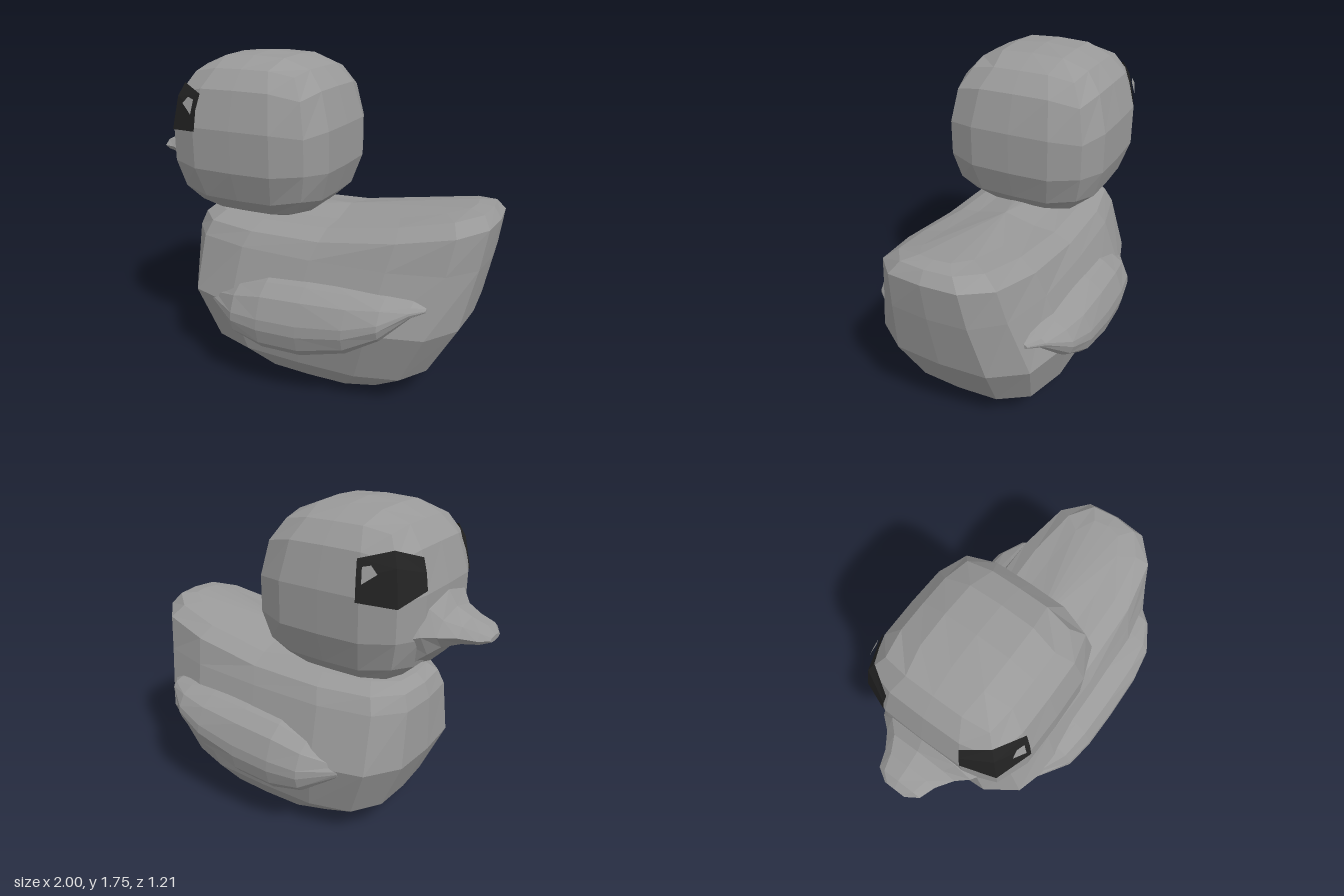
import * as THREE from 'three';

const V = (x, y, z) => new THREE.Vector3(x, y, z);

function geometryFrom(points) {
  const g = new THREE.BufferGeometry().setFromPoints(points);
  g.computeVertexNormals();
  return g;
}

// Skin closed rings into a faceted solid with fan caps at both ends
function loft(rings, flip = false) {
  const out = [];
  const tri = (a, b, c) => (flip ? out.push(a, c, b) : out.push(a, b, c));
  const n = rings[0].length;
  const middle = (ring) => ring.reduce((s, p) => s.add(p), V(0, 0, 0)).divideScalar(n);
  const first = rings[0], last = rings[rings.length - 1];
  const start = middle(first), end = middle(last);
  for (let j = 0; j < n; j++) {
    const k = (j + 1) % n;
    tri(start, first[j], first[k]);
    tri(end, last[k], last[j]);
    for (let i = 0; i < rings.length - 1; i++) {
      const a = rings[i][j], b = rings[i][k], c = rings[i + 1][j], d = rings[i + 1][k];
      tri(a, c, b);
      tri(b, c, d);
    }
  }
  return geometryFrom(out);
}

// Head is a tall box inflated into a boxy ellipsoid
const HEAD = { x: -0.295, y: 1.27, rx: 0.46, rz: 0.45, up: 0.485, down: 0.4, flat: 4.2, tall: 2.7 };

function headGeometry() {
  const g = new THREE.BoxGeometry(2, 2.5, 2, 4, 5, 4);
  const p = g.attributes.position;
  for (let i = 0; i < p.count; i++) {
    const x = p.getX(i), y = p.getY(i), z = p.getZ(i);
    const side = Math.abs(x) ** HEAD.flat + Math.abs(z) ** HEAD.flat;
    const f = (side ** (HEAD.tall / HEAD.flat) + Math.abs(y) ** HEAD.tall) ** (1 / HEAD.tall);
    p.setXYZ(i, HEAD.x + HEAD.rx * x / f, HEAD.y + (y > 0 ? HEAD.up : HEAD.down) * y / f, HEAD.rz * z / f);
  }
  g.computeVertexNormals();
  return g;
}

// Point just above the head surface at a height, in a horizontal direction
function onHead(dx, dz, y) {
  const s = (1 - ((y - HEAD.y) / HEAD.up) ** HEAD.tall) ** (1 / HEAD.tall);
  const k = 1.012 * s / (Math.abs(dx) ** HEAD.flat + Math.abs(dz) ** HEAD.flat) ** (1 / HEAD.flat);
  return V(HEAD.x + HEAD.rx * dx * k, y, HEAD.rz * dz * k);
}

function bodyGeometry() {
  // height, front x, back x, half width, tail lift
  const levels = [
    [0.005, -0.1, 0.36, 0.16, 0],
    [0.025, -0.24, 0.48, 0.26, 0],
    [0.06, -0.33, 0.55, 0.37, 0],
    [0.17, -0.57, 0.74, 0.445, 0],
    [0.46, -0.7, 0.9, 0.515, 0],
    [0.76, -0.69, 0.97, 0.415, 0.02],
    [0.84, -0.66, 1.0, 0.37, 0.13],
    [0.885, -0.61, 0.96, 0.28, 0.15],
    [0.9, -0.5, 0.88, 0.17, 0.16],
  ];
  const e = 3.7;
  return loft(levels.map(([y, x0, x1, hz, lift]) => {
    const ring = [];
    for (let s = 0; s < 4; s++) {
      for (let i = 0; i < 4; i++) {
        // walk round a square, then round its corners
        const t = -1 + i / 2;
        const [u, w] = [[1, t], [-t, 1], [-1, -t], [t, -1]][s];
        const k = 1 / (Math.abs(u) ** e + Math.abs(w) ** e) ** (1 / e);
        const x = (x0 + x1) / 2 + u * k * (x1 - x0) / 2;
        const rise = Math.max(0, (x - 0.05) / 0.85) ** 1.3;
        ring.push(V(x, y + lift * rise, w * k * hz));
      }
    }
    return ring;
  }));
}

function beakGeometry() {
  // x, middle height, half height, half width, flaring into the cheeks
  const sections = [
    [-1.0, 1.17, 0.015, 0.06],
    [-0.96, 1.182, 0.04, 0.125],
    [-0.88, 1.188, 0.06, 0.155],
    [-0.8, 1.19, 0.095, 0.21],
    [-0.75, 1.2, 0.16, 0.27],
    [-0.68, 1.18, 0.21, 0.31],
  ];
  return loft(sections.map(([x, y, hy, hz]) => Array.from({ length: 8 }, (_, i) => {
    const a = i * Math.PI / 4;
    return V(x, y + hy * Math.sin(a), hz * Math.cos(a));
  })), true);
}

function wingGeometry(side) {
  // x, outer z, bottom, top
  const sections = [
    [-0.43, 0.465, 0.41, 0.5],
    [-0.25, 0.575, 0.29, 0.61],
    [-0.08, 0.6, 0.25, 0.67],
    [0.15, 0.605, 0.26, 0.69],
    [0.4, 0.6, 0.34, 0.69],
    [0.57, 0.57, 0.45, 0.68],
    [0.7, 0.48, 0.58, 0.66],
    [0.76, 0.41, 0.6, 0.63],
  ];
  // outward and upward fractions, from the belly up to the back
  const profile = [[0.15, 0], [0.75, 0.06], [0.92, 0.17], [1, 0.36], [0.98, 0.5], [0.8, 0.76], [0.5, 0.89], [0.1, 1]];
  const inner = 0.36;
  return loft(sections.map(([x, out, low, high]) => profile.map(([w, v]) =>
    V(x, low + (high - low) * v, side * (inner + (out - inner) * w)))), side > 0);
}

// Eye patch folded round the front corner of the head
function eyeGrid(side) {
  const columns = [[-1, 0.5, [1.41, 1.49, 1.555]], [-1, 1, [1.355, 1.53, 1.6]], [-0.46, 1, [1.37, 1.48, 1.56]]];
  return columns.map(([dx, dz, ys]) => ys.map((y) => onHead(dx, dz * side, y)));
}

function eyeGeometry(grid) {
  const out = [];
  for (let c = 0; c < 2; c++) {
    for (let r = 0; r < 2; r++) {
      const a = grid[c][r], b = grid[c + 1][r], d = grid[c][r + 1], e = grid[c + 1][r + 1];
      out.push(a, b, e, a, e, d);
    }
  }
  return geometryFrom(out);
}

// Small glint on the rear half of the eye, lifted just clear of it
function glintGeometry(side) {
  const spots = [[-0.595, 1.505], [-0.53, 1.455], [-0.52, 1.53], [-0.56, 1.54]];
  const p = spots.map(([x, y]) => {
    const s = (1 - ((y - HEAD.y) / HEAD.up) ** HEAD.tall) ** (1 / HEAD.tall);
    const u = Math.abs(x - HEAD.x) / (HEAD.rx * s);
    const z = HEAD.rz * s * (1 - u ** HEAD.flat) ** (1 / HEAD.flat);
    return V(x, y, side * (z + 0.008));
  });
  return geometryFrom([p[0], p[1], p[2], p[0], p[2], p[3]]);
}

export function createModel() {
  const model = new THREE.Group();
  const material = (name, color) => {
    const m = new THREE.MeshStandardMaterial({ color, flatShading: true, side: THREE.DoubleSide });
    m.name = name;
    return m;
  };
  const grey = material('grey', 0x999999);
  const black = material('black', 0x222222);
  const add = (name, geometry, mat) => {
    const mesh = new THREE.Mesh(geometry, mat);
    mesh.name = name;
    model.add(mesh);
  };

  add('body', bodyGeometry(), grey);
  add('head', headGeometry(), grey);
  add('beak', beakGeometry(), grey);
  for (const [label, side] of [['left', 1], ['right', -1]]) {
    add(label + 'Wing', wingGeometry(side), grey);
    add(label + 'Eye', eyeGeometry(eyeGrid(side)), black);
    add(label + 'EyeGlint', glintGeometry(side), grey);
  }
  return model;
}
